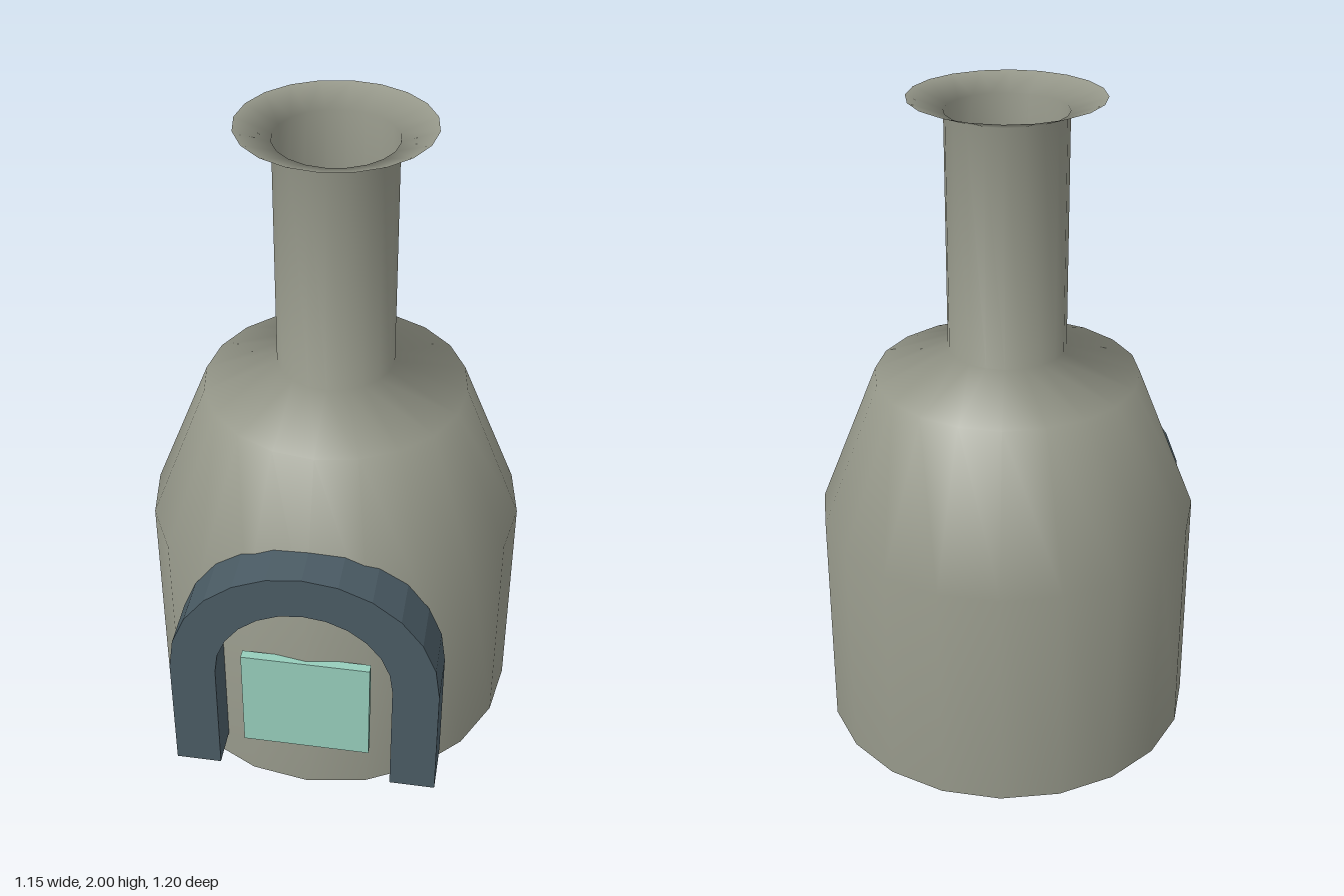
import * as THREE from 'three';

export function createModel() {
  const group = new THREE.Group();
  const clay = new THREE.MeshStandardMaterial({ name: 'clay', color: 0x96988a, side: THREE.DoubleSide });
  const iron = new THREE.MeshStandardMaterial({ name: 'darkIron', color: 0x4a5b64 });
  const glass = new THREE.MeshStandardMaterial({ name: 'paleGreen', color: 0x96cdbb });

  const add = (name, geometry, material, x, y, z) => {
    const mesh = new THREE.Mesh(geometry, material);
    mesh.name = name;
    mesh.position.set(x, y, z);
    group.add(mesh);
  };

  // Open shell: drum, tapered shoulder, chimney and flared lip
  const profile = [
    [0.577, 0], [0.577, 0.715], [0.4, 1.16],
    [0.178, 1.245], [0.178, 1.96], [0.283, 2],
  ].map(([r, y]) => new THREE.Vector2(r, y));
  add('furnaceShell', new THREE.LatheGeometry(profile, 20), clay, 0, 0, -0.023);

  // Arched surround with two straight legs
  const outer = 0.406, inner = 0.267, spring = 0.495, foot = 0.095;
  const arch = new THREE.Shape();
  arch.moveTo(outer, foot);
  arch.lineTo(outer, spring);
  arch.absarc(0, spring, outer, 0, Math.PI, false);
  arch.lineTo(-outer, foot);
  arch.lineTo(-inner, foot);
  arch.lineTo(-inner, spring);
  arch.absarc(0, spring, inner, Math.PI, 0, true);
  arch.lineTo(inner, foot);
  arch.closePath();
  const archGeometry = new THREE.ExtrudeGeometry(arch, { depth: 0.158, bevelEnabled: false, curveSegments: 6 });
  add('doorArch', archGeometry, iron, 0, 0, 0.442);

  // Door panel set into the front wall
  add('doorPanel', new THREE.BoxGeometry(0.39, 0.356, 0.028), glass, 0, 0.357, 0.553);

  return group;
}
